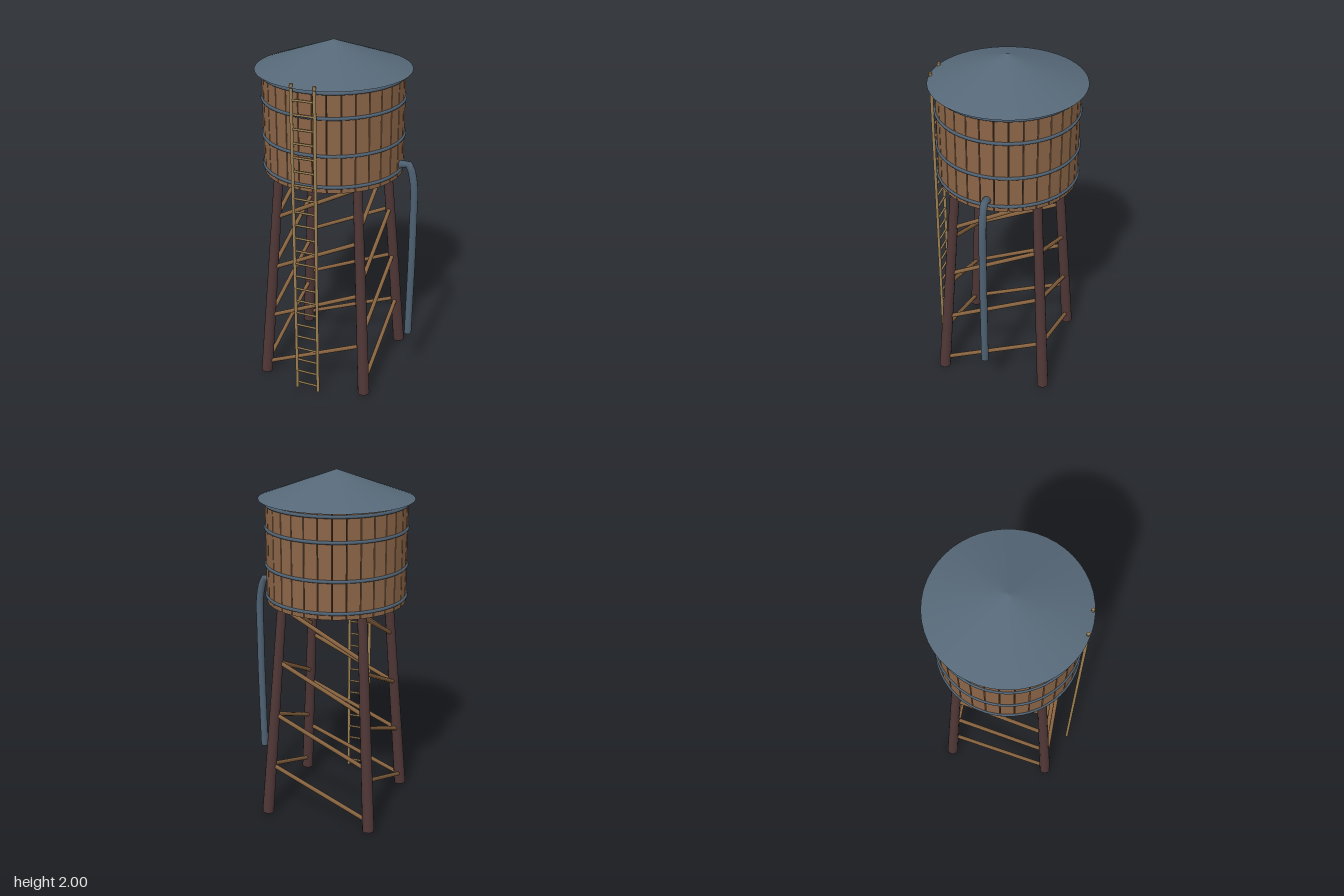
import * as THREE from 'three';

const V = (x, y, z) => new THREE.Vector3(x, y, z);
const mat = (name, color, extra = {}) => {
  const m = new THREE.MeshStandardMaterial({ color, ...extra });
  m.name = name;
  return m;
};

export function createModel() {
  const wood = mat('stave wood', 0x8b6547);
  const gapWood = mat('dark gap wood', 0x3a2a20);
  const legWood = mat('leg wood', 0x4f3636);
  const braceWood = mat('brace wood', 0x86623f);
  const ladderWood = mat('ladder wood', 0x9c8055);
  const roofMetal = mat('roof metal', 0x566878);
  const pipeMetal = mat('pipe metal', 0x4e6071, { side: THREE.DoubleSide });

  const model = new THREE.Group();
  model.name = 'waterTower';
  const tower = new THREE.Group();
  tower.name = 'tower';
  tower.position.x = -0.037;
  model.add(tower);

  const add = (parent, name, geometry, material, x = 0, y = 0, z = 0) => {
    const mesh = new THREE.Mesh(geometry, material);
    mesh.name = name;
    mesh.position.set(x, y, z);
    parent.add(mesh);
    return mesh;
  };

  // Round beam from point a to point b
  const beam = (parent, name, a, b, ra, rb, material, sides = 10) => {
    const mesh = add(parent, name, new THREE.CylinderGeometry(rb, ra, a.distanceTo(b), sides), material);
    mesh.position.copy(a).lerp(b, 0.5);
    mesh.quaternion.setFromUnitVectors(V(0, 1, 0), b.clone().sub(a).normalize());
    return mesh;
  };

  // Tank: dark core seen through the gaps, staves and floor
  const tankBottom = 1.27, tankTop = 1.845, tankMid = (tankBottom + tankTop) / 2;
  const tank = new THREE.Group();
  tank.name = 'tank';
  tower.add(tank);
  add(tank, 'tankCore', new THREE.CylinderGeometry(0.378, 0.378, 0.56, 64), gapWood, 0, tankMid, 0);
  add(tank, 'tankFloor', new THREE.CylinderGeometry(0.376, 0.376, 0.02, 64), wood, 0, tankBottom + 0.011, 0);
  const staveGeometry = new THREE.BoxGeometry(0.0715, tankTop - tankBottom, 0.022);
  const staves = 32;
  for (let i = 0; i < staves; i++) {
    const a = (i / staves) * Math.PI * 2;
    const stave = add(tank, 'stave', staveGeometry, wood, Math.sin(a) * 0.379, tankMid, Math.cos(a) * 0.379);
    stave.rotation.y = a;
  }

  // Metal hoops
  for (const y of [1.304, 1.479, 1.687, 1.822]) {
    const hoop = add(tank, 'hoop', new THREE.TorusGeometry(0.391, 0.0095, 8, 64), pipeMetal, 0, y, 0);
    hoop.rotation.x = Math.PI / 2;
  }

  // Conical roof
  add(tower, 'roof', new THREE.ConeGeometry(0.43, 0.156, 48), roofMetal, 0, 1.922, 0);

  // Splayed legs; spread(y) is the half distance between legs at height y
  const spread = (y) => 0.313 - 0.079 * (y / 1.27);
  const legPoint = (sx, sz, y) => V(sx * spread(y), y, sz * spread(y));
  for (const sx of [-1, 1]) for (const sz of [-1, 1]) {
    beam(tower, 'leg', legPoint(sx, sz, 0.003), legPoint(sx, sz, 1.28), 0.034, 0.026, legWood, 14);
  }

  // Diagonal braces on all four sides, rising to the left and to the back
  for (let i = 0; i < 4; i++) {
    const low = 0.06 + i * 0.3165, high = 0.31 + i * 0.3165;
    for (const s of [-1, 1]) {
      beam(tower, 'brace', legPoint(-1, s, low), legPoint(1, s, high), 0.0125, 0.0125, braceWood, 8);
      beam(tower, 'brace', legPoint(s, 1, low), legPoint(s, -1, high), 0.0125, 0.0125, braceWood, 8);
    }
  }

  // Ladder
  const ladder = new THREE.Group();
  ladder.name = 'ladder';
  ladder.position.z = 0.412;
  tower.add(ladder);
  for (const s of [-1, 1]) {
    beam(ladder, 'ladderRail', V(s * 0.065, 0.01, 0), V(s * 0.065, 1.865, 0), 0.0095, 0.0095, ladderWood, 8);
  }
  for (let i = 0; i < 23; i++) {
    const y = 0.045 + i * 0.0788;
    beam(ladder, 'rung', V(-0.065, y, 0), V(0.065, y, 0), 0.0065, 0.0065, ladderWood, 6);
  }

  // Downspout
  const path = new THREE.CatmullRomCurve3([
    V(0.33, 1.325, 0), V(0.40, 1.348, 0), V(0.434, 1.26, 0), V(0.442, 0.95, 0), V(0.434, 0.27, 0),
  ]);
  add(model, 'downspout', new THREE.TubeGeometry(path, 28, 0.0215, 12), pipeMetal);

  return model;
}
